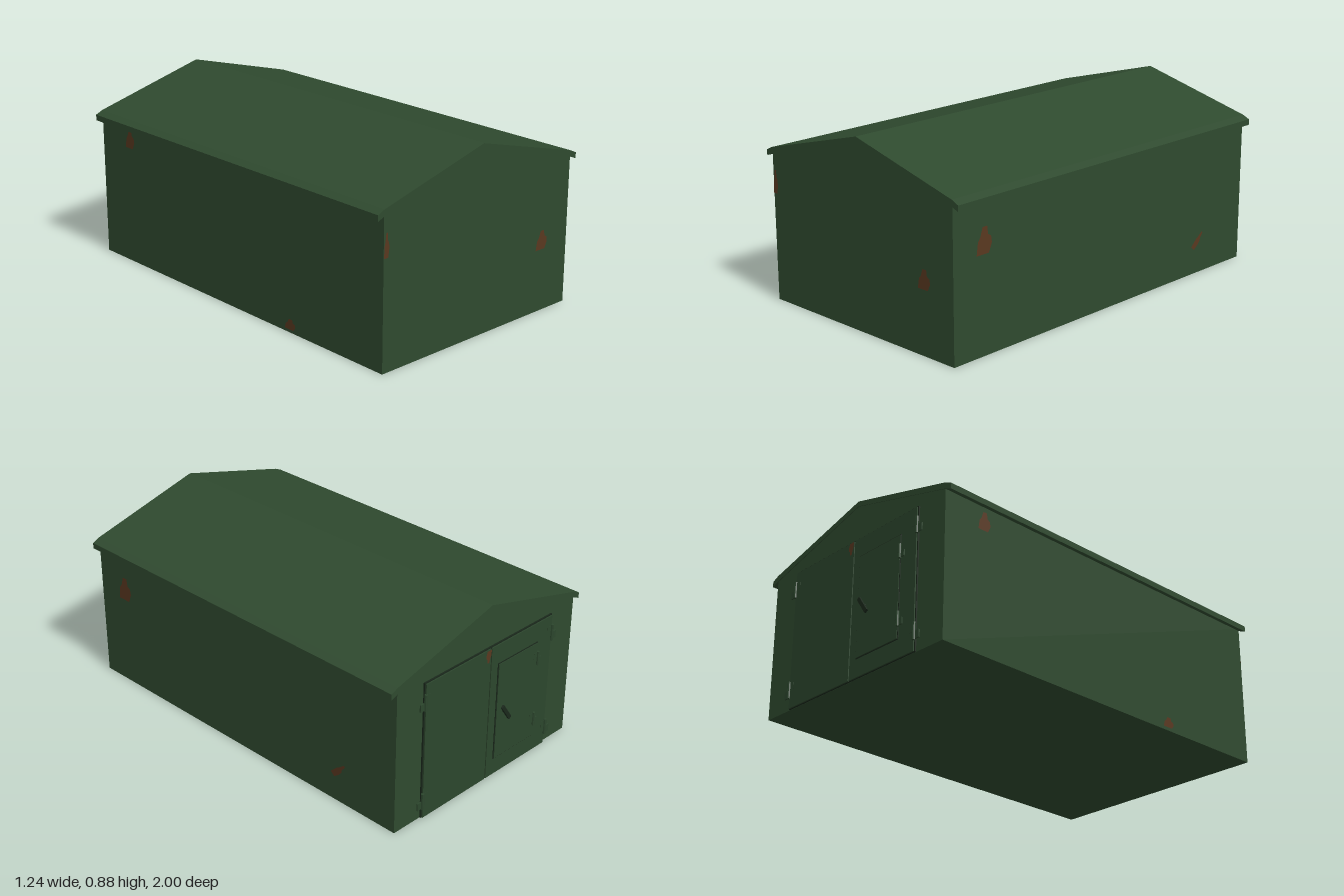
import * as THREE from 'three';

const BACK = -0.965, FRONT = 1;
const mat = (color, side = THREE.FrontSide) =>
  new THREE.MeshStandardMaterial({ color, side, flatShading: true });
const green = mat(0x2f4a2f), doorGreen = mat(0x2c462d), dark = mat(0x1a281b);
const rust = mat(0x593820, THREE.DoubleSide);

function add(parent, name, geometry, material, x = 0, y = 0, z = 0) {
  const mesh = new THREE.Mesh(geometry, material);
  mesh.name = name;
  mesh.position.set(x, y, z);
  parent.add(mesh);
  return mesh;
}

const outline = pts => new THREE.Shape(pts.map(p => new THREE.Vector2(p[0], p[1])));

// Solid with a constant cross-section running from back to front
function prism(pts, z0, z1) {
  const g = new THREE.ExtrudeGeometry(outline(pts), { depth: z1 - z0, bevelEnabled: false });
  return g.translate(0, 0, z0);
}

const box = (w, h, d) => new THREE.BoxGeometry(w, h, d);

// Hinge: a barrel with one high leaf and one low leaf
function hinge(parent, name, x, y, z, dir, s = 1) {
  const g = new THREE.Group();
  g.name = name;
  g.position.set(x, y, z);
  g.scale.set(dir * s, s, 1);
  add(g, 'hingeBarrel', new THREE.CylinderGeometry(0.008, 0.008, 0.08, 8), doorGreen);
  add(g, 'hingeDoorLeaf', box(0.03, 0.036, 0.006), doorGreen, -0.016, 0.018, 0.003);
  add(g, 'hingeFrameLeaf', box(0.03, 0.036, 0.006), doorGreen, 0.016, -0.018, 0.003);
  parent.add(g);
}

// Thin irregular rust stain lying on a wall
const blotch = [[-0.5, -0.5], [0.3, -0.5], [0.5, -0.15], [0.45, 0.1], [0.25, 0.2],
  [0.2, 0.5], [-0.1, 0.5], [-0.25, 0.15], [-0.4, 0]];
function stain(parent, x, y, z, w, h, turn = 0, tilt = 0) {
  const g = new THREE.ShapeGeometry(outline(blotch.map(p => [p[0] * w, p[1] * h])));
  g.rotateZ(tilt);
  add(parent, 'rustStain', g, rust, x, y, z).rotation.y = turn;
}

export function createModel() {
  const model = new THREE.Group();
  model.name = 'garage';

  // Walls with gable ends
  add(model, 'walls', prism([[-0.585, 0], [0.585, 0], [0.585, 0.71], [0, 0.865], [-0.585, 0.71]],
    BACK + 0.003, FRONT - 0.003), green);

  // Roof slab with drooping eaves
  add(model, 'roof', prism([[0, 0.885], [-0.585, 0.73], [-0.622, 0.713], [-0.622, 0.685],
    [-0.585, 0.7], [0, 0.86], [0.585, 0.7], [0.622, 0.685], [0.622, 0.713], [0.585, 0.73]],
  BACK, FRONT), green);

  // Double doors on the back gable
  const doors = new THREE.Group();
  doors.name = 'doors';
  model.add(doors);
  add(doors, 'doorGap', box(0.848, 0.682, 0.008), dark, 0, 0.342, BACK);
  for (const s of [-1, 1]) {
    add(doors, 'doorLeaf', box(0.416, 0.675, 0.016), doorGreen, s * 0.211, 0.3395, BACK - 0.002);
    for (const y of [0.59, 0.09]) hinge(doors, 'doorHinge', s * 0.422, y, BACK - 0.011, s);
  }

  // Small door set into one leaf
  add(doors, 'smallDoorGap', box(0.276, 0.496, 0.004), dark, -0.185, 0.335, BACK - 0.011);
  add(doors, 'smallDoor', box(0.268, 0.488, 0.008), doorGreen, -0.185, 0.335, BACK - 0.012);
  for (const y of [0.5, 0.18]) hinge(doors, 'smallDoorHinge', -0.322, y, BACK - 0.017, -1, 0.85);

  // Slanted handle on a short stem
  add(doors, 'handleStem', new THREE.CylinderGeometry(0.007, 0.007, 0.02, 8).rotateX(Math.PI / 2),
    dark, -0.1, 0.32, BACK - 0.022);
  add(doors, 'handle', box(0.018, 0.095, 0.01), dark, -0.1, 0.32, BACK - 0.03).rotation.z = -0.6;

  // Rust stains: front, right-hand wall, left-hand wall, back
  const e = 0.002, q = Math.PI / 2;
  stain(model, 0.41, 0.345, FRONT - e / 2, 0.075, 0.09);
  stain(model, -0.57, 0.57, FRONT - e / 2, 0.03, 0.11);
  stain(model, 0.585 + e, 0.515, 0.82, 0.09, 0.12, q);
  stain(model, 0.585 + e, 0.165, -0.63, 0.035, 0.1, q, -0.75);
  stain(model, -0.585 - e, 0.63, -0.74, 0.07, 0.09, -q);
  stain(model, -0.585 - e, 0.04, 0.42, 0.07, 0.05, -q);
  stain(model, 0.02, 0.645, BACK - 0.012, 0.035, 0.06, 2 * q, Math.PI);

  return model;
}
